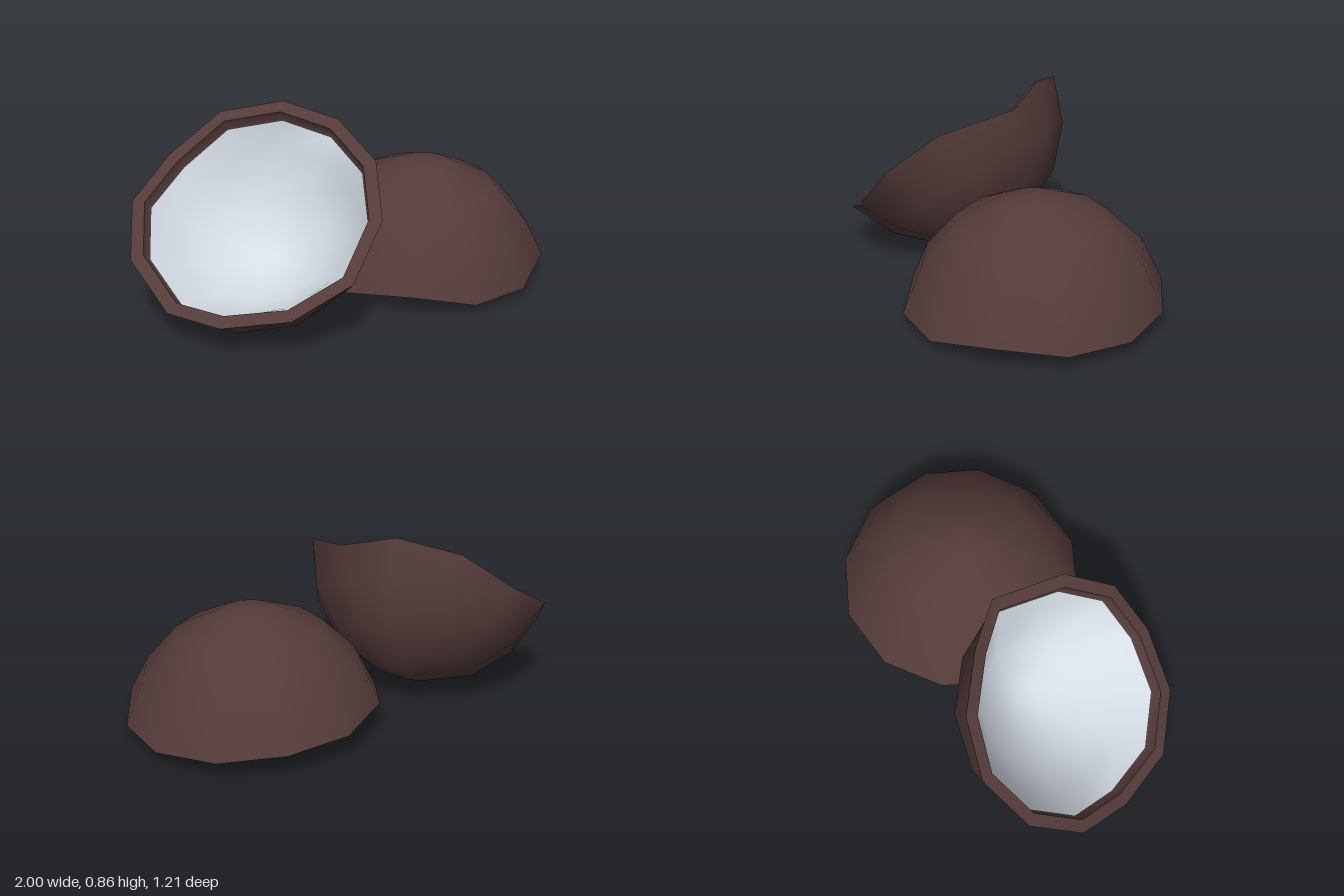
import * as THREE from 'three';
import { mergeVertices } from 'three/addons/utils/BufferGeometryUtils.js';

const V = (x, y, z) => new THREE.Vector3(x, y, z);
const brown = new THREE.MeshStandardMaterial({ color: 0x543b3a });
brown.name = 'huskBrown';
const white = new THREE.MeshStandardMaterial({ color: 0xd6dde6 });
white.name = 'fleshWhite';

// Skin a list of closed rings with smooth normals
function skin(name, rings, material) {
  const n = rings[0].length, index = [];
  for (let k = 0; k < rings.length - 1; k++) {
    for (let i = 0; i < n; i++) {
      const j = (i + 1) % n;
      const a = k * n + i, b = k * n + j, c = a + n, d = b + n;
      index.push(a, c, b, b, c, d);
    }
  }
  let g = new THREE.BufferGeometry().setFromPoints(rings.flat());
  g.setIndex(index);
  g = mergeVertices(g);
  g.computeVertexNormals();
  const mesh = new THREE.Mesh(g, material);
  mesh.name = name;
  return mesh;
}

// Half shell: jagged rim points (counter-clockwise seen from the open side) plus a spherical cap
function halfShell(name, points, axis, filled) {
  const group = new THREE.Group();
  group.name = name;
  axis.normalize();
  const rim = points.map(p => V(...p));
  const centre = rim.reduce((s, p) => s.add(p), V(0, 0, 0)).divideScalar(rim.length);
  const ball = centre.clone().addScaledVector(axis, 0.114);
  const radial = rim.map(p => p.clone().sub(centre).projectOnPlane(axis).normalize());

  const inset = (t, depth) => rim.map((p, i) =>
    p.clone().addScaledVector(radial[i], -t).addScaledVector(axis, -depth));
  const cap = R => [57.5, 35, 12, 0].map(deg => {
    const a = THREE.MathUtils.degToRad(deg);
    return radial.map(r => ball.clone()
      .addScaledVector(axis, -R * Math.cos(a)).addScaledVector(r, R * Math.sin(a)));
  });

  group.add(skin('outerHusk', [rim, ...cap(0.58)], brown));
  group.add(skin('brokenRim', [inset(0.06, 0), rim], brown));
  group.add(skin('innerHusk', [inset(0.06, 0), inset(0.066, 0.055), ...cap(0.515)].reverse(), brown));
  if (filled) group.add(skin('flesh', [inset(0.073, 0.05), ...cap(0.5)].reverse(), white));
  return group;
}

export function createModel() {
  const model = new THREE.Group();
  model.name = 'splitNut';

  // Half leaning with its opening upward, lined with flesh
  model.add(halfShell('openHalf', [
    [-1, 0.3, -0.1], [-0.94, 0.14, 0.16], [-0.81, 0.15, 0.42], [-0.56, 0.195, 0.585],
    [-0.28, 0.31, 0.603], [-0.09, 0.53, 0.51], [0, 0.71, 0.29], [0, 0.8, -0.06],
    [-0.19, 0.867, -0.23], [-0.43, 0.808, -0.39], [-0.67, 0.63, -0.43], [-0.9, 0.48, -0.32],
  ], V(-0.468, 0.774, 0.428), true));

  // Empty half lying face down
  model.add(halfShell('overturnedHalf', [
    [0.47, 0.118, -0.605], [0.75, 0.087, -0.5], [0.95, 0.07, -0.28], [1, 0.068, 0.01],
    [0.9, 0.098, 0.3], [0.66, 0.045, 0.5], [0.37, 0.047, 0.55], [0.1, 0.098, 0.44],
    [-0.1, 0.072, 0.21], [-0.16, 0.097, -0.08], [-0.06, 0.15, -0.36], [0.17, 0.125, -0.55],
  ], V(-0.026, -1, -0.057), false));

  return model;
}
